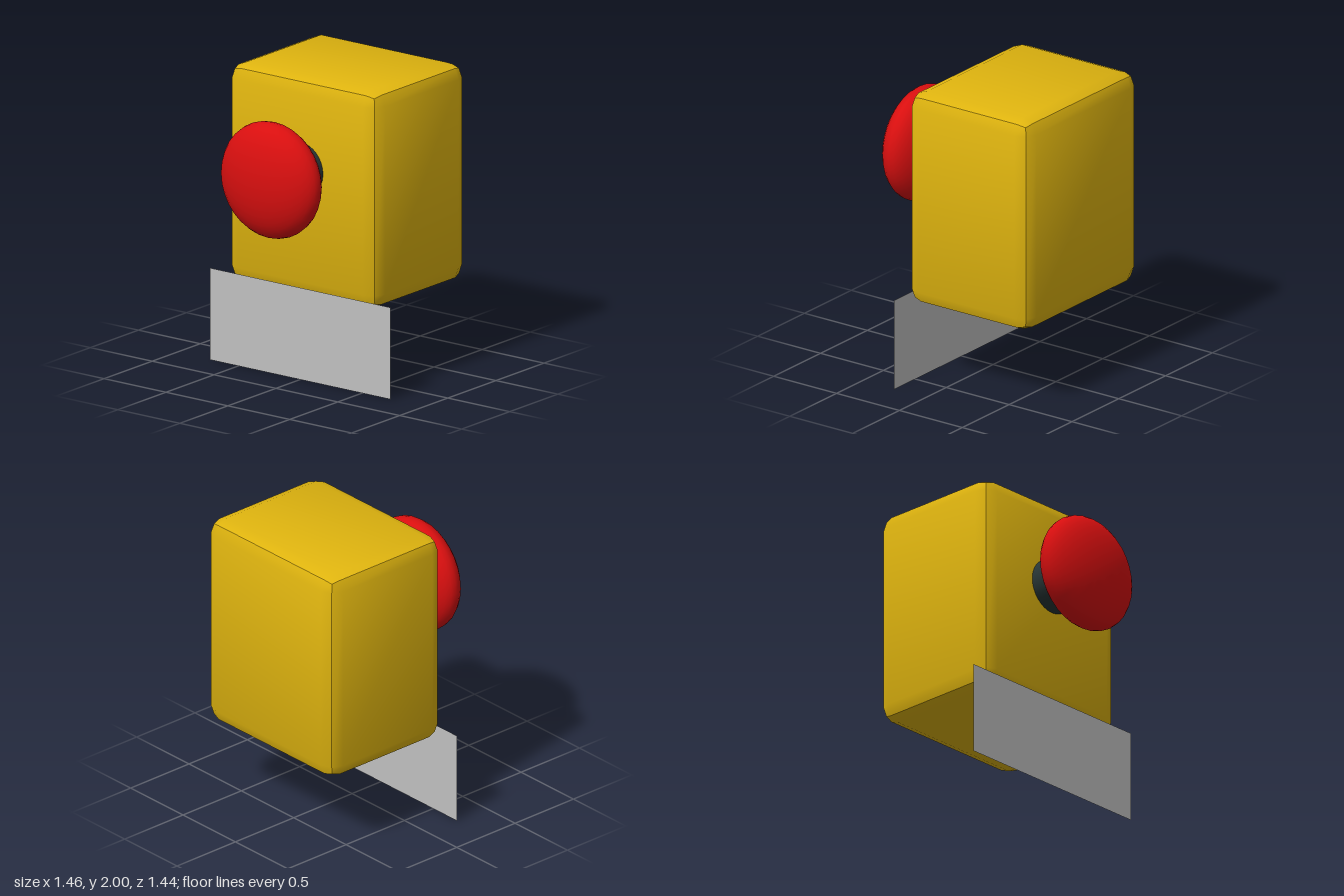
import * as THREE from 'three';
import { RoundedBoxGeometry } from 'three/addons/geometries/RoundedBoxGeometry.js';
import { toCreasedNormals } from 'three/addons/utils/BufferGeometryUtils.js';

function material(name, color, options = {}) {
  const m = new THREE.MeshStandardMaterial({ color, ...options });
  m.name = name;
  return m;
}

export function createModel() {
  const model = new THREE.Group();
  model.name = 'pushButtonBox';

  const yellow = material('yellow', 0xe0b50f);
  const red = material('red', 0xd90f0f);
  const dark = material('darkSlate', 0x283636);
  const grey = material('grey', 0xc0c0c0, { side: THREE.DoubleSide });

  function add(name, geometry, mat, x, y, z) {
    const mesh = new THREE.Mesh(geometry, mat);
    mesh.name = name;
    mesh.position.set(x, y, z);
    model.add(mesh);
  }

  // Housing: bevelled box, each side smooth with a crease along the bevel middle
  const housing = toCreasedNormals(new RoundedBoxGeometry(1.21, 1.45, 0.965, 1, 0.1), 0.6);
  add('housing', housing, yellow, 0, 1.275, -0.2375);

  // Stem between housing and button
  const stem = new THREE.CylinderGeometry(0.182, 0.182, 0.3, 32).rotateX(Math.PI / 2);
  add('stem', stem, dark, 0, 1.397, 0.33);

  // Flattened push button, poles along z
  const button = new THREE.SphereGeometry(1, 32, 16).rotateX(Math.PI / 2).scale(0.385, 0.385, 0.173);
  add('button', button, red, 0, 1.397, 0.547);

  // Flat label panel hanging below the front
  add('labelPanel', new THREE.PlaneGeometry(1.455, 0.61), grey, 0, 0.305, 0.247);

  return model;
}
